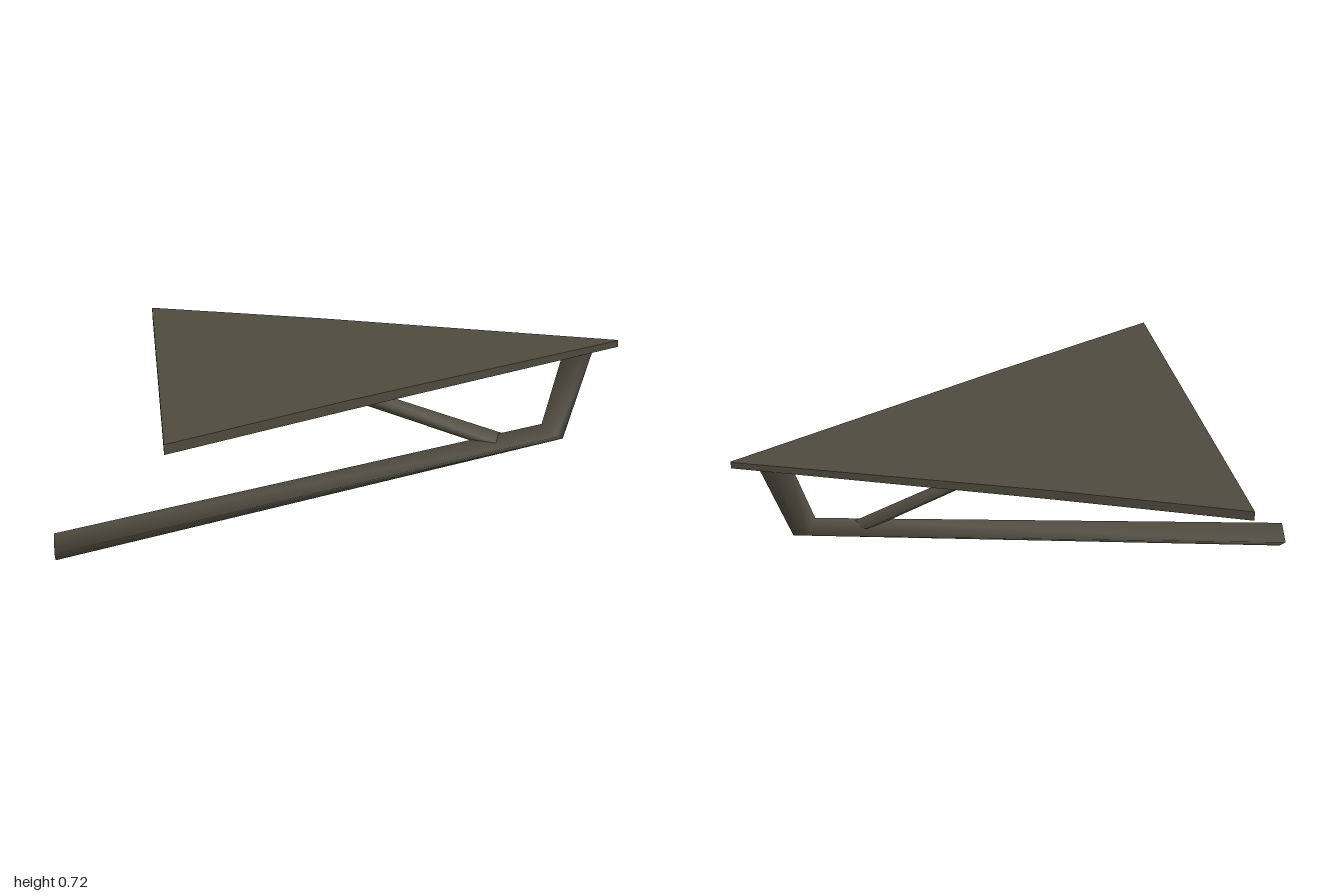
import * as THREE from 'three';

const metal = new THREE.MeshStandardMaterial({ color: 0x4f4a3e });
metal.name = 'dark bronze';

// Skin a run of four-cornered rings, with separate end caps
function loft(name, rings, flat) {
  const pos = rings.flat(2);
  const index = [];
  const n = rings.length;
  for (let i = 0; i < n - 1; i++) {
    for (let j = 0; j < 4; j++) {
      const a = i * 4 + j, b = i * 4 + (j + 1) % 4;
      index.push(a, b, b + 4, a, b + 4, a + 4);
    }
  }
  const s = n * 4, e = s + 4;
  pos.push(...rings[0].flat(), ...rings[n - 1].flat());
  index.push(s, s + 2, s + 1, s, s + 3, s + 2, e, e + 1, e + 2, e, e + 2, e + 3);
  let geo = new THREE.BufferGeometry();
  geo.setAttribute('position', new THREE.Float32BufferAttribute(pos, 3));
  geo.setIndex(index);
  if (flat) geo = geo.toNonIndexed();
  geo.computeVertexNormals();
  const mesh = new THREE.Mesh(geo, metal);
  mesh.name = name;
  return mesh;
}

// Diamond ring from its top and bottom corners [x, y], centre z and half width
function diamond([tx, ty], [bx, by], z, w) {
  const mx = (tx + bx) / 2, my = (ty + by) / 2;
  return [[tx, ty, z], [mx, my, z + w], [bx, by, z], [mx, my, z - w]];
}

// Blade cross-section at x
function slab(x, top, bottom, z, w) {
  return [[x, top, z - w], [x, top, z + w], [x, bottom, z + w], [x, bottom, z - w]];
}

export function createModel() {
  const group = new THREE.Group();
  group.name = 'trowel';

  // Thin triangular blade, rising slightly towards its tip
  group.add(loft('blade', [
    slab(-0.613, 0.694, 0.659, 0, 0.621),
    slab(-0.01, 0.713, 0.678, 0.003, 0.386),
    slab(0.995, 0.729, 0.705, 0.006, 0.002),
  ], true));

  // Grip and the neck that bends up to the blade
  group.add(loft('handle', [
    diamond([-1, 0.11], [-1, 0.004], 0.037, 0.053),
    diamond([0.73, 0.435], [0.81, 0.374], 0.033, 0.053),
    diamond([0.806, 0.712], [0.912, 0.712], 0.003, 0.053),
  ]));

  // Slanted strut between blade and grip
  group.add(loft('brace', [
    diamond([-0.13, 0.68], [-0.26, 0.676], 0, 0.024),
    diamond([0.63, 0.39], [0.49, 0.378], 0.03, 0.032),
  ]));

  return group;
}
